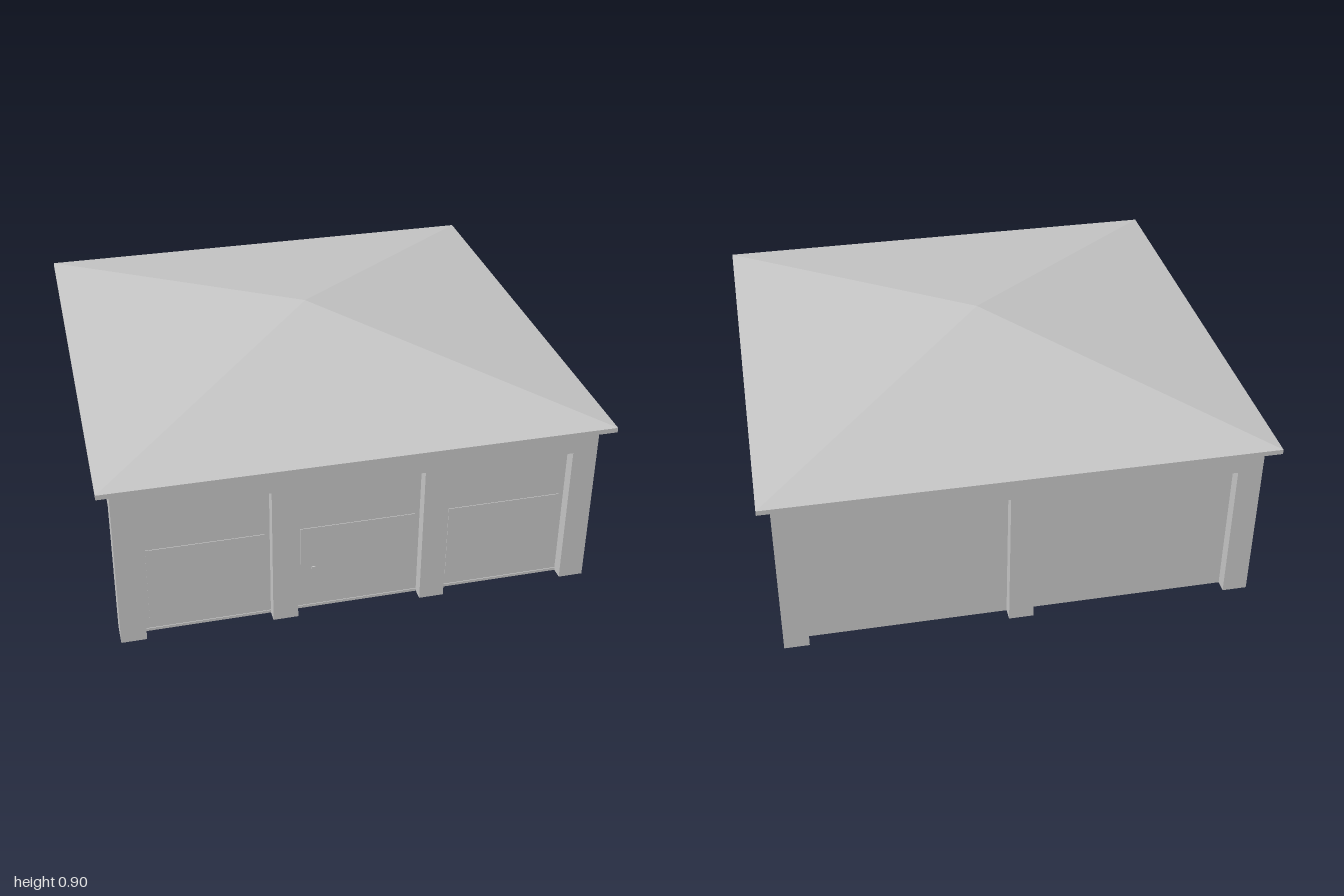
import * as THREE from 'three';

const WALL = 0.95, CORE = 0.9, EAVE = 0.71, BAY_TOP = 0.605;

export function createModel() {
  const model = new THREE.Group();
  model.name = 'garage';
  const grey = new THREE.MeshStandardMaterial({ color: 0xc4c4c4 });
  grey.name = 'plain grey';

  const add = (parent, name, geometry, x = 0, y = 0, z = 0) => {
    const mesh = new THREE.Mesh(geometry, grey);
    mesh.name = name;
    mesh.position.set(x, y, z);
    parent.add(mesh);
    return mesh;
  };
  const box = (parent, name, x0, x1, y0, y1, z0, z1) =>
    add(parent, name, new THREE.BoxGeometry(x1 - x0, y1 - y0, z1 - z0),
      (x0 + x1) / 2, (y0 + y1) / 2, (z0 + z1) / 2);

  // Inner walls and floor
  box(model, 'innerWalls', -CORE, CORE, 0, EAVE, -CORE, CORE);

  // Pillars and lintel of one side, with a notch for each bay
  const addSide = (name, angle, half, bays) => {
    const side = new THREE.Group();
    side.name = name;
    side.rotation.y = angle;
    model.add(side);
    const outline = new THREE.Shape();
    outline.moveTo(-half, 0);
    for (const [a, b] of bays) {
      outline.lineTo(a, 0);
      outline.lineTo(a, BAY_TOP);
      outline.lineTo(b, BAY_TOP);
      outline.lineTo(b, 0);
    }
    outline.lineTo(half, 0);
    outline.lineTo(half, EAVE);
    outline.lineTo(-half, EAVE);
    const frame = new THREE.ExtrudeGeometry(outline, { depth: WALL - CORE, bevelEnabled: false });
    add(side, name + 'Frame', frame, 0, 0, CORE);
    return side;
  };

  const front = addSide('front', 0, WALL, [[-0.85, -0.35], [-0.25, 0.25], [0.35, 0.85]]);
  addSide('back', Math.PI, WALL, [[-0.85, -0.05], [0.05, 0.85]]);
  addSide('leftSide', Math.PI / 2, CORE, [[-0.85, 0.25], [0.35, 0.85]]);
  const right = addSide('rightSide', -Math.PI / 2, CORE, [[-0.85, -0.35], [-0.25, 0.85]]);

  // Thin shutter panels and sills in the front bays
  for (const x of [-0.6, 0, 0.6]) {
    box(front, 'shutterPanel', x - 0.23, x + 0.23, 0.06, 0.385, CORE, CORE + 0.003);
    box(front, 'shutterSill', x - 0.25, x + 0.25, 0, 0.012, CORE, CORE + 0.003);
  }
  box(front, 'shutterHandle', -0.185, -0.17, 0.19, 0.2, CORE, CORE + 0.008);

  // Side door with handle, and the sill of the long bay
  box(right, 'sideDoor', -0.83, -0.6, 0, 0.4, CORE, CORE + 0.005);
  box(right, 'doorHandle', -0.64, -0.62, 0.185, 0.2, CORE, CORE + 0.012);
  box(right, 'longBaySill', -0.25, 0.85, 0, 0.018, CORE, CORE + 0.004);

  // Overhanging eave and pyramid roof
  box(model, 'eave', -1, 1, EAVE, 0.73, -1, 1);
  const roof = new THREE.ConeGeometry(Math.SQRT2, 0.175, 4, 1, true).toNonIndexed();
  roof.rotateY(Math.PI / 4);
  roof.computeVertexNormals();
  add(model, 'roof', roof, 0, 0.73 + 0.0875, 0);

  return model;
}
